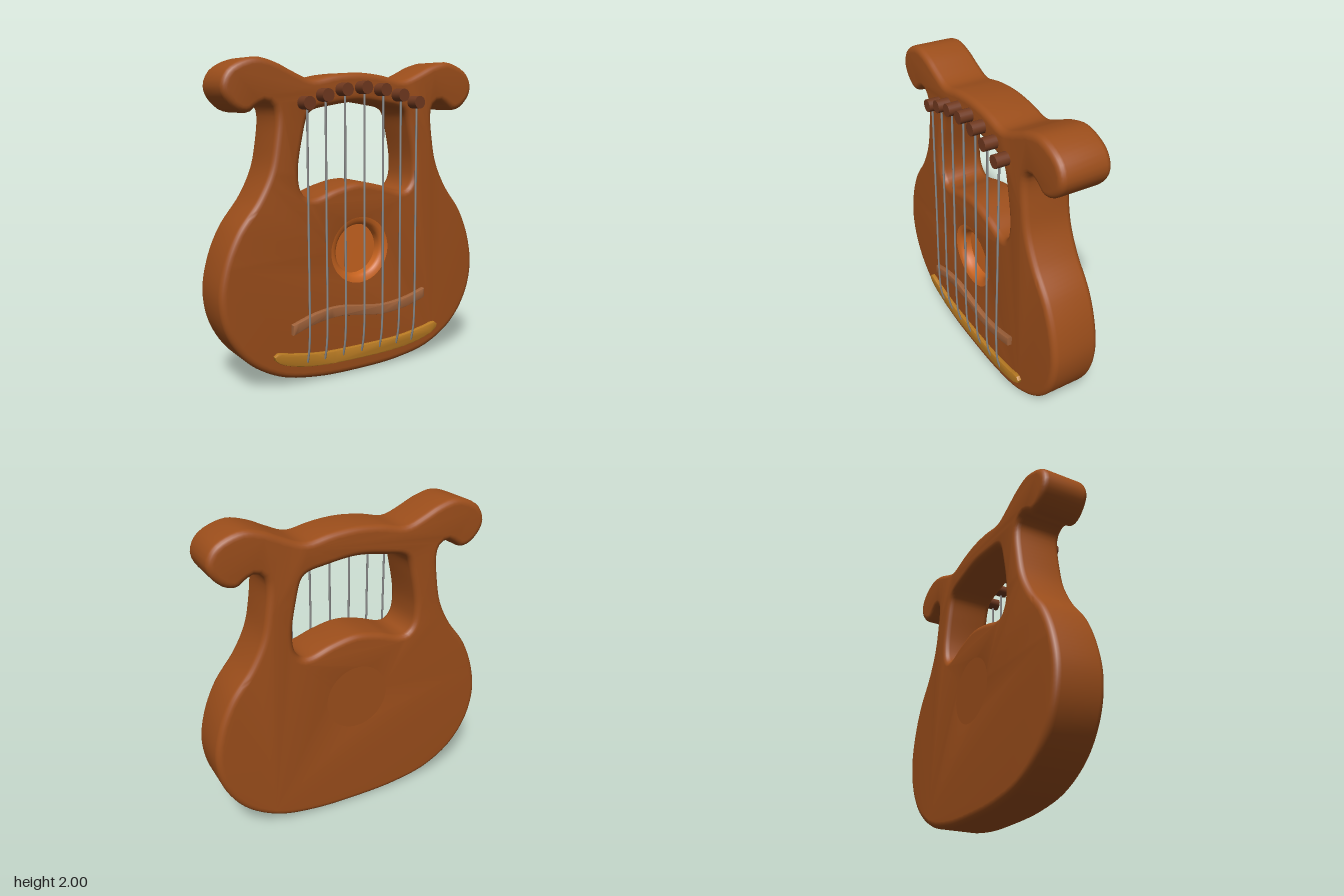
import * as THREE from 'three';
import { toCreasedNormals } from 'three/addons/utils/BufferGeometryUtils.js';

const FRONT = 0.12, BACK = -0.2, SOUND_Y = 0.81;
const mat = (color) => new THREE.MeshStandardMaterial({ color });
const wood = mat(0x9c4e1b), lining = mat(0xc86420), dark = mat(0x70391f);
const bridgeWood = mat(0xa0623a), gold = mat(0xb87a22), steel = mat(0x8c8c8c);

// Closed smooth outline from its +x half, listed between two points on the mirror line.
function mirroredOutline(half, count) {
  const left = half.filter(([x]) => x > 0).reverse().map(([x, y]) => [-x, y]);
  const points = [...half, ...left].map(([x, y]) => new THREE.Vector3(x, y, 0));
  return new THREE.CatmullRomCurve3(points, true).getSpacedPoints(count).slice(0, count)
    .map((p) => new THREE.Vector2(p.x, p.y));
}

// Plate between two depths whose rounded edges stay inside the outline.
function plate(shape, back, front, bevel, segments) {
  const geometry = new THREE.ExtrudeGeometry(shape, {
    depth: front - back - 2 * bevel, steps: 1, curveSegments: 12,
    bevelThickness: bevel, bevelSize: bevel, bevelOffset: -bevel, bevelSegments: segments,
  });
  geometry.translate(0, 0, back + bevel);
  return toCreasedNormals(geometry, 0.65);
}

export function createModel() {
  const group = new THREE.Group();
  const add = (name, geometry, material, parent = group) => {
    const mesh = new THREE.Mesh(geometry, material);
    mesh.name = name;
    parent.add(mesh);
    return mesh;
  };

  // Body with curled shoulders, string window and sound hole
  const body = new THREE.Shape(mirroredOutline([
    [0, 0.002], [0.31, 0.015], [0.57, 0.07], [0.78, 0.2], [0.91, 0.39], [0.953, 0.6],
    [0.918, 0.81], [0.835, 1.0], [0.7, 1.18], [0.62, 1.34], [0.585, 1.5], [0.57, 1.66],
    [0.585, 1.715], [0.63, 1.743], [0.685, 1.725], [0.745, 1.685], [0.815, 1.7],
    [0.89, 1.775], [0.907, 1.845], [0.86, 1.935], [0.7, 2.0], [0.57, 1.975],
    [0.465, 1.928], [0.36, 1.885], [0.31, 1.88], [0.17, 1.908], [0, 1.922],
  ], 240));
  const stringWindow = new THREE.Path(mirroredOutline([
    [0, 1.745], [0.2, 1.722], [0.32, 1.697], [0.355, 1.668], [0.395, 1.53], [0.425, 1.34],
    [0.412, 1.225], [0.37, 1.172], [0.31, 1.168], [0.17, 1.213], [0, 1.243],
  ], 120));
  const soundHole = new THREE.Path(
    new THREE.EllipseCurve(0, SOUND_Y, 0.172, 0.172, 0, Math.PI * 2).getPoints(64).slice(0, 64));
  body.holes.push(stringWindow, soundHole);
  add('body', plate(body, BACK, FRONT, 0.04, 5), wood);

  // Back closing panel behind the sound hole
  const panel = add('backPanel', new THREE.CircleGeometry(0.213, 64), wood);
  panel.position.set(0, SOUND_Y, BACK - 0.0003);
  panel.rotation.y = Math.PI;

  // Sound hole rim, wall and floor, from the rim inwards
  const cup = new THREE.LatheGeometry([
    [0.213, 0.121], [0.19, 0.116], [0.172, 0.104], [0.163, 0.085], [0.163, 0.04], [0, 0.04],
  ].map(([r, z]) => new THREE.Vector2(r, z)), 64);
  cup.rotateX(Math.PI / 2);
  add('soundHoleLining', toCreasedNormals(cup, 0.7), lining).position.y = SOUND_Y;

  // Wavy bridge
  const wave = new THREE.SplineCurve([
    [-0.5, 0.368], [-0.34, 0.418], [-0.17, 0.438], [0, 0.418], [0.17, 0.4], [0.34, 0.418], [0.5, 0.462],
  ].map(([x, y]) => new THREE.Vector2(x, y))).getPoints(36);
  const shifted = (dy) => wave.map((p) => new THREE.Vector2(p.x, p.y + dy));
  const bridge = new THREE.Shape([...shifted(-0.032), ...shifted(0.032).reverse()]);
  add('bridge', plate(bridge, 0.1, 0.152, 0.005, 2), bridgeWood);

  // Curved tailpiece
  const tail = new THREE.Shape(mirroredOutline([
    [0, 0.095], [0.3, 0.104], [0.48, 0.132], [0.59, 0.172], [0.627, 0.21],
    [0.605, 0.236], [0.5, 0.217], [0.3, 0.188], [0, 0.18],
  ], 90));
  add('tailpiece', plate(tail, 0.1, 0.146, 0.008, 2), gold);

  // Tuning pegs and strings
  const pegs = new THREE.Group(), strings = new THREE.Group();
  pegs.name = 'tuningPegs';
  strings.name = 'strings';
  group.add(pegs, strings);
  const pegGeometry = new THREE.CylinderGeometry(0.04, 0.04, 0.11, 20).rotateX(Math.PI / 2);
  for (const [x, y] of [[-0.4, 1.74], [-0.275, 1.785], [-0.14, 1.818], [0, 1.831],
    [0.14, 1.818], [0.275, 1.785], [0.4, 1.74]]) {
    add('tuningPeg', pegGeometry, dark, pegs).position.set(x, y, 0.148);
    const path = new THREE.CatmullRomCurve3([
      [y, 0.166], [1.0, 0.171], [0.42, 0.175], [0.26, 0.168], [0.18, 0.153], [0.13, 0.135],
    ].map(([py, z]) => new THREE.Vector3(x, py, z)));
    add('string', new THREE.TubeGeometry(path, 40, 0.007, 8), steel, strings);
  }
  return group;
}
